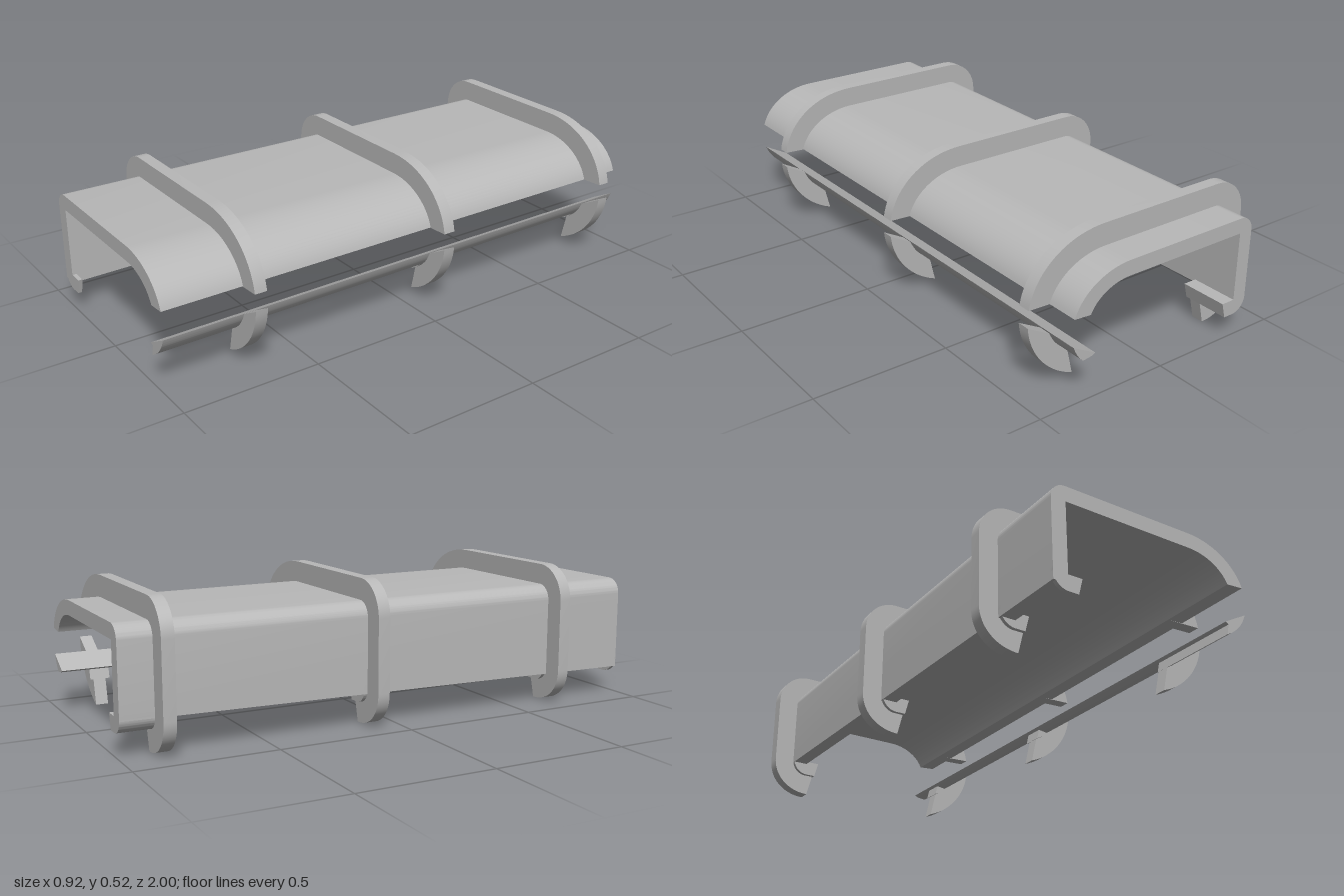
import * as THREE from 'three';
import { toCreasedNormals } from 'three/addons/utils/BufferGeometryUtils.js';

const ribCentres = [0.685, -0.088, -0.86];
const ribHalf = 0.0225;
const tabHalf = 0.036;

// Closed outline from commands: 2 numbers = line, 4 = quadratic, 6 = cubic
function outline(start, ...steps) {
  const s = new THREE.Shape();
  s.moveTo(...start);
  for (const p of steps) {
    if (p.length === 2) s.lineTo(...p);
    else if (p.length === 4) s.quadraticCurveTo(...p);
    else s.bezierCurveTo(...p);
  }
  s.closePath();
  return s;
}

// Extrude an outline between two z positions, with an optional vertex rule
function prism(shape, z0, z1, rule) {
  const geo = new THREE.ExtrudeGeometry(shape, { depth: z1 - z0, bevelEnabled: false, curveSegments: 20 });
  geo.translate(0, 0, z0);
  if (rule) {
    const pos = geo.attributes.position;
    const v = new THREE.Vector3();
    for (let i = 0; i < pos.count; i++) {
      v.fromBufferAttribute(pos, i);
      rule(v);
      pos.setXYZ(i, v.x, v.y, v.z);
    }
  }
  return toCreasedNormals(geo, 0.5);
}

// The channel narrows slightly toward the back
function taper(v) {
  const k = 1 - 0.011 * (1 - v.z);
  v.x *= k;
  v.y = 0.25 + (v.y - 0.25) * (1 - 0.015 * (1 - v.z));
}

// The wall's lower edge also climbs toward the back
function taperAndTrim(v) {
  const low = v.y < 0.11;
  taper(v);
  if (low) v.y = 0.1 + 0.014 * (1 - v.z);
}

export function createModel() {
  const group = new THREE.Group();
  const grey = new THREE.MeshStandardMaterial({ color: 0xb8b8b8 });
  grey.name = 'plain grey';
  const add = (name, geo) => {
    const mesh = new THREE.Mesh(geo, grey);
    mesh.name = name;
    group.add(mesh);
  };

  // Channel: side wall, flat top and drooping far edge
  const channel = outline([-0.335, 0.1], [-0.335, 0.387], [0.16, 0.387],
    [0.23, 0.387, 0.295, 0.355, 0.32, 0.3], [0.385, 0.305],
    [0.36, 0.385, 0.27, 0.443, 0.16, 0.443], [-0.335, 0.443],
    [-0.365, 0.443, -0.39, 0.418, -0.39, 0.388], [-0.39, 0.1]);
  add('channelShell', prism(channel, -1, 1, taperAndTrim));

  // Hooked lip under the wall, present only at the ends and the ribs
  const lip = outline([-0.335, 0.15], [-0.39, 0.15], [-0.39, 0.13],
    [-0.39, 0.1, -0.365, 0.075, -0.335, 0.075], [-0.297, 0.075],
    [-0.282, 0.132], [-0.335, 0.132]);
  const ribSpans = ribCentres.map((z) => [z - tabHalf, z + tabHalf]);
  for (const [a, b] of [[0.985, 1], ...ribSpans, [-1, -0.89]]) {
    add('wallLip', prism(lip, a, b, taper));
  }

  // Lower rail: a slim blade, deeper at the front and at each rib
  const slimRail = outline([0.385, 0.204], [0.295, 0.155], [0.307, 0.148],
    [0.345, 0.143], [0.37, 0.165, 0.385, 0.204]);
  add('rail', prism(slimRail, -1, 1, taper));
  const deepRail = outline([0.385, 0.204], [0.295, 0.155], [0.307, 0.148],
    [0.298, 0.11], [0.36, 0.14, 0.385, 0.204]);
  for (const [a, b] of [[0.66, 1], ...ribSpans.slice(1)]) {
    add('railFoot', prism(deepRail, a, b, taper));
  }

  // Ribs wrapping the channel, and the matching crescents on the rail
  const hoop = outline([-0.282, 0.132], [-0.335, 0.132], [-0.335, 0.387], [0.16, 0.387],
    [0.23, 0.387, 0.295, 0.355, 0.32, 0.3], [0.458, 0.306],
    [0.44, 0.42, 0.33, 0.517, 0.16, 0.517], [-0.335, 0.517],
    [-0.404, 0.517, -0.46, 0.461, -0.46, 0.392], [-0.46, 0.13],
    [-0.46, 0.055, -0.4, 0, -0.315, 0]);
  const crescent = outline([0.46, 0.245], [0.295, 0.155], [0.307, 0.148],
    [0.277, 0.021], [0.36, 0.05, 0.45, 0.13, 0.46, 0.245]);
  for (const z of ribCentres) {
    add('rib', prism(hoop, z - ribHalf, z + ribHalf));
    add('railRib', prism(crescent, z - ribHalf, z + ribHalf));
  }
  return group;
}
